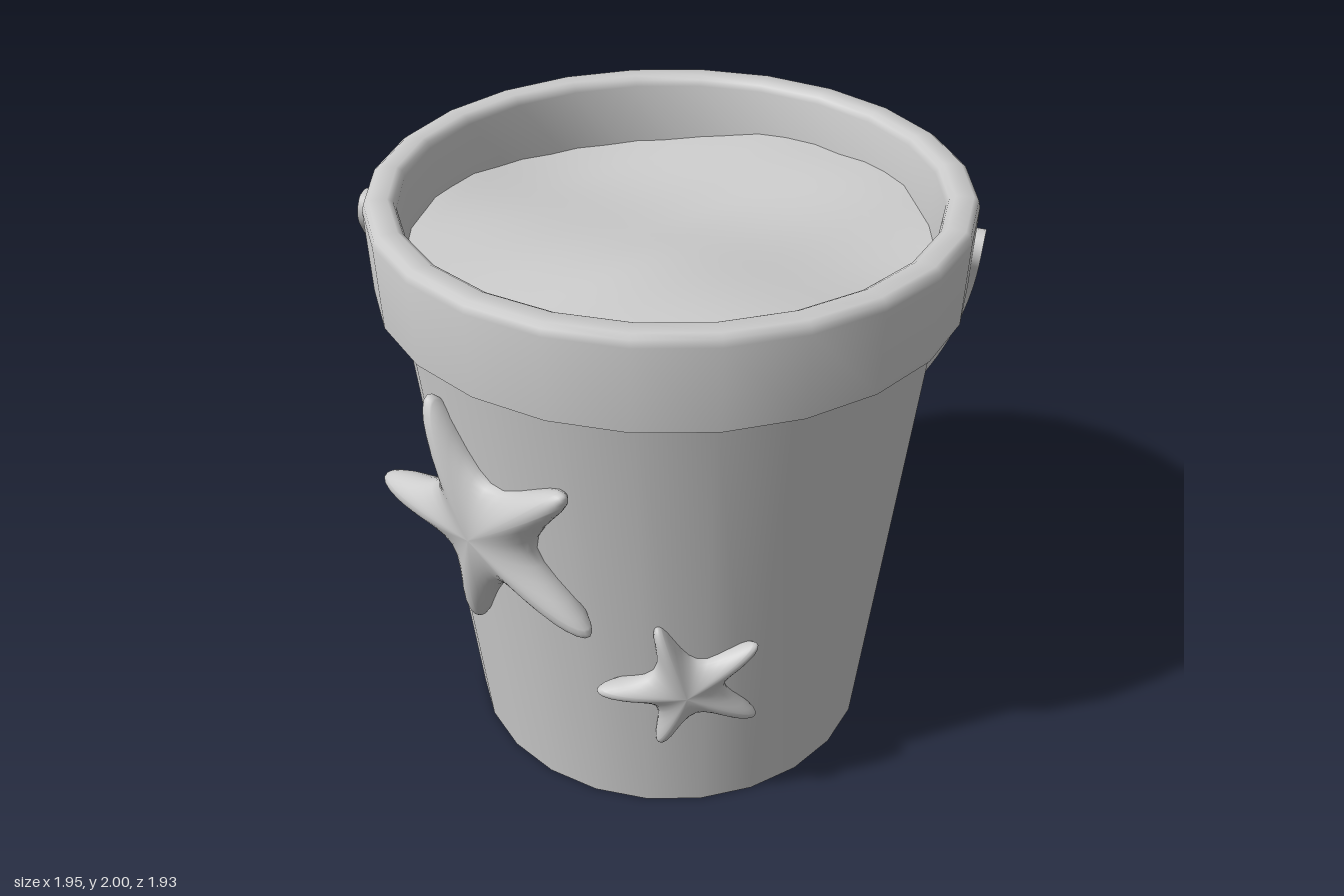
import * as THREE from 'three';
import { toCreasedNormals } from 'three/addons/utils/BufferGeometryUtils.js';

const material = new THREE.MeshStandardMaterial({ color: 0xcccccc, side: THREE.DoubleSide });
const SEGMENTS = 24;
const START = THREE.MathUtils.degToRad(9.8);
const V = (x, y, z) => new THREE.Vector3(x, y, z);

function part(name, geometry, parent) {
  const mesh = new THREE.Mesh(geometry, material);
  mesh.name = name;
  parent.add(mesh);
  return mesh;
}

// Skin over equal-length closed rings of points
function loft(rings) {
  const n = rings[0].length;
  const index = [];
  for (let i = 0; i < rings.length - 1; i++) {
    for (let j = 0; j < n; j++) {
      const a = i * n + j, b = i * n + (j + 1) % n;
      index.push(a, b, b + n, a, b + n, a + n);
    }
  }
  const geometry = new THREE.BufferGeometry().setFromPoints(rings.flat());
  geometry.setIndex(index);
  geometry.computeVertexNormals();
  return geometry;
}

function lathe(profile) {
  const points = profile.map(([r, y]) => new THREE.Vector2(r, y));
  return toCreasedNormals(new THREE.LatheGeometry(points, SEGMENTS, START), 0.75);
}

// Uneven sand surface on a polar grid
function sandGeometry() {
  const rings = [];
  for (let i = 0; i <= 12; i++) {
    const r = 0.855 * Math.max(i / 12, 0.001);
    rings.push(Array.from({ length: 48 }, (_, j) => {
      const a = START + (j / 48) * Math.PI * 2;
      const x = r * Math.sin(a), z = r * Math.cos(a);
      const bump = 0.022 * Math.sin(4.1 * x + 1.3 * z + 0.6) + 0.018 * Math.sin(5.3 * z - 2.2 * x)
        + 0.01 * Math.sin(9 * x + 7 * z);
      return V(x, 1.79 + bump, z);
    }));
  }
  return loft(rings.reverse());
}

// Puffy five-armed star lying in the xy plane
function starGeometry(radius, depth, turn) {
  const control = [];
  for (let k = 0; k < 5; k++) {
    for (const [degrees, r] of [[-36, 0.44], [-3, 0.96], [0, 1], [3, 0.96]]) {
      const a = THREE.MathUtils.degToRad(turn + 72 * k + degrees);
      control.push(V(Math.cos(a) * r * radius, Math.sin(a) * r * radius, 0));
    }
  }
  const outline = new THREE.CatmullRomCurve3(control, true);
  const points = Array.from({ length: 100 }, (_, i) => outline.getPoint(i / 100));
  const rings = [];
  for (let i = 0; i <= 20; i++) {
    const a = (i / 20) * Math.PI;
    const s = Math.max(Math.sin(a), 0.001);
    rings.push(points.map((p) => V(p.x * s, p.y * s, -depth * Math.cos(a))));
  }
  return loft(rings);
}

// Carrying strap: a hanging arc, wider in the middle, with rounded ends
function handleGeometry() {
  const center = (t) => {
    const c = Math.cos(t), s = Math.sin(t);
    return V(0.955 * c - 0.1 * s, 1.87 - 0.03 * c - 1.31 * s, -0.2 * c ** 3 - 0.87 * s);
  };
  const rings = [];
  const steps = 72;
  for (let i = 0; i <= steps; i++) {
    // sample closer together at the rounded ends
    const u = i / steps;
    const t = Math.PI * (u - 0.8 * Math.sin(2 * Math.PI * u) / (2 * Math.PI));
    const s = Math.sin(t);
    const p = center(t);
    const tangent = center(t + 0.001).sub(center(t - 0.001)).normalize();
    const across = V(0, 0.45 + 0.25 * s, -0.89 + 0.19 * s);
    across.addScaledVector(tangent, -across.dot(tangent)).normalize();
    const out = V().crossVectors(tangent, across).normalize();
    const e = Math.min(s / 0.045, 1);
    const half = (0.06 + 0.07 * s) * Math.sqrt(Math.max(1 - (1 - e) ** 2, 0.01));
    const thick = 0.017;
    rings.push([[1, 1], [1, -1], [-1, -1], [-1, 1]].map(([w, h]) =>
      p.clone().addScaledVector(across, w * half).addScaledVector(out, h * thick)));
  }
  // close both ends
  const cap = (ring) => {
    const middle = ring.reduce((sum, q) => sum.add(q), V()).divideScalar(4);
    return ring.map((q) => q.clone().lerp(middle, 0.999));
  };
  rings.unshift(cap(rings[0]));
  rings.push(cap(rings[rings.length - 1]));
  return toCreasedNormals(loft(rings), 0.6);
}

export function createModel() {
  const model = new THREE.Group();
  model.name = 'sandBucket';

  // Tapered pail, open underneath
  const body = new THREE.Group();
  body.name = 'pail';
  body.position.set(0.01, 0, 0.01);
  model.add(body);
  part('wall', lathe([[0.705, 0], [0.876, 1.7]]), body);
  part('rim', lathe([
    [0.87, 1.69], [0.945, 1.69], [0.954, 1.965], [0.948, 1.988], [0.932, 2],
    [0.875, 2], [0.858, 1.99], [0.85, 1.97], [0.845, 1.69],
  ]), body);
  part('sand', sandGeometry(), body);

  // Stars on the front, leaning with the wall
  const stars = [
    ['largeStar', 0.475, 0.09, 39, V(-0.38, 1.09, 0.72), -23],
    ['smallStar', 0.285, 0.065, 37, V(0.27, 0.59, 0.725), 21],
  ];
  for (const [name, radius, depth, turn, position, yaw] of stars) {
    const star = part(name, starGeometry(radius, depth, turn), model);
    star.position.copy(position);
    star.rotation.set(0.1, THREE.MathUtils.degToRad(yaw), 0, 'YXZ');
  }

  part('handle', handleGeometry(), model);
  return model;
}
